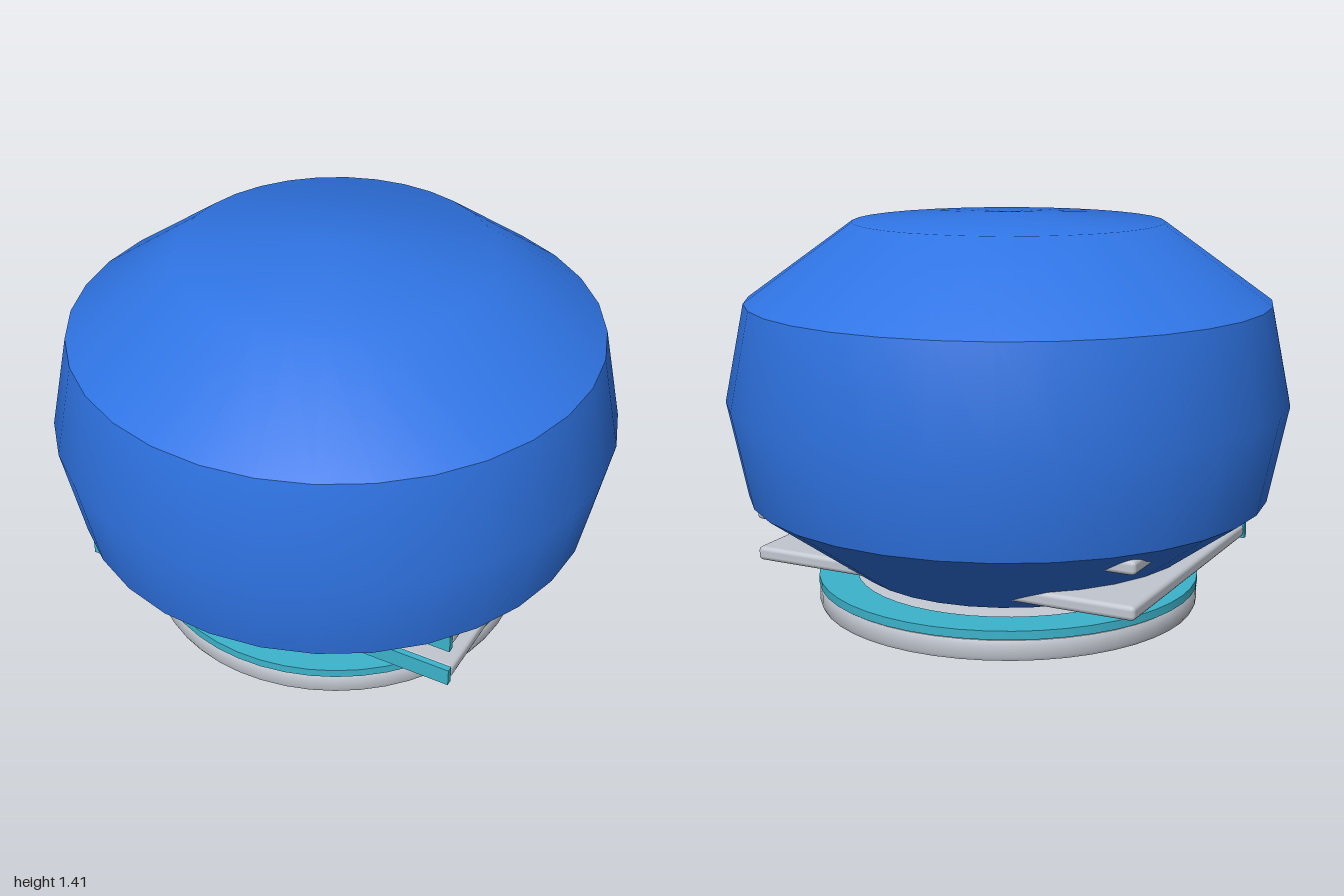
import * as THREE from 'three';
import { toCreasedNormals } from 'three/addons/utils/BufferGeometryUtils.js';
import { RoundedBoxGeometry } from 'three/addons/geometries/RoundedBoxGeometry.js';

const material = (name, color) => Object.assign(new THREE.MeshStandardMaterial({ color }), { name });

export function createModel() {
  const blue = material('blue', 0x2f74e4);
  const teal = material('teal', 0x3cb4cc);
  const grey = material('light grey', 0xc2c7d0);
  const model = new THREE.Group();
  model.name = 'globe';

  const add = (parent, name, geometry, mat, x = 0, y = 0, z = 0) => {
    const mesh = new THREE.Mesh(geometry, mat);
    mesh.name = name;
    mesh.position.set(x, y, z);
    parent.add(mesh);
    return mesh;
  };
  // Revolved profile, listed from the bottom up along the outside
  const lathe = (points, sides, crease) =>
    toCreasedNormals(new THREE.LatheGeometry(points.map(([r, y]) => new THREE.Vector2(r, y)), sides), crease);

  // Faceted ball
  add(model, 'ball', lathe([
    [0, 0.115], [0.55, 0.143], [0.93, 0.418], [1, 0.762],
    [0.93, 1.106], [0.55, 1.381], [0, 1.412],
  ], 32, 0.66), blue);

  // Round base with softened edges
  add(model, 'base', lathe([
    [0, 0.003], [0.67, 0.003], [0.682, 0.007], [0.688, 0.02],
    [0.688, 0.064], [0.682, 0.077], [0.67, 0.081], [0, 0.081],
  ], 48, 0.8), grey);

  // Flat ring on top of the base
  add(model, 'baseRing', lathe([
    [0.55, 0.082], [0.69, 0.082], [0.69, 0.112], [0.55, 0.112], [0.55, 0.082],
  ], 48, 0.6), teal);

  // Two turned slabs, each with a coloured strip along one long edge
  for (const y of [0.211, 0.362]) {
    const slab = new THREE.Group();
    slab.name = 'slab';
    slab.position.y = y;
    slab.rotation.y = 0.16;
    add(slab, 'slabBody', new RoundedBoxGeometry(1.07, 0.05, 1.45, 2, 0.016), grey, 0.01);
    add(slab, 'slabEdgeStrip', new THREE.BoxGeometry(0.022, 0.065, 1.45), teal, -0.535);
    model.add(slab);
  }
  return model;
}
